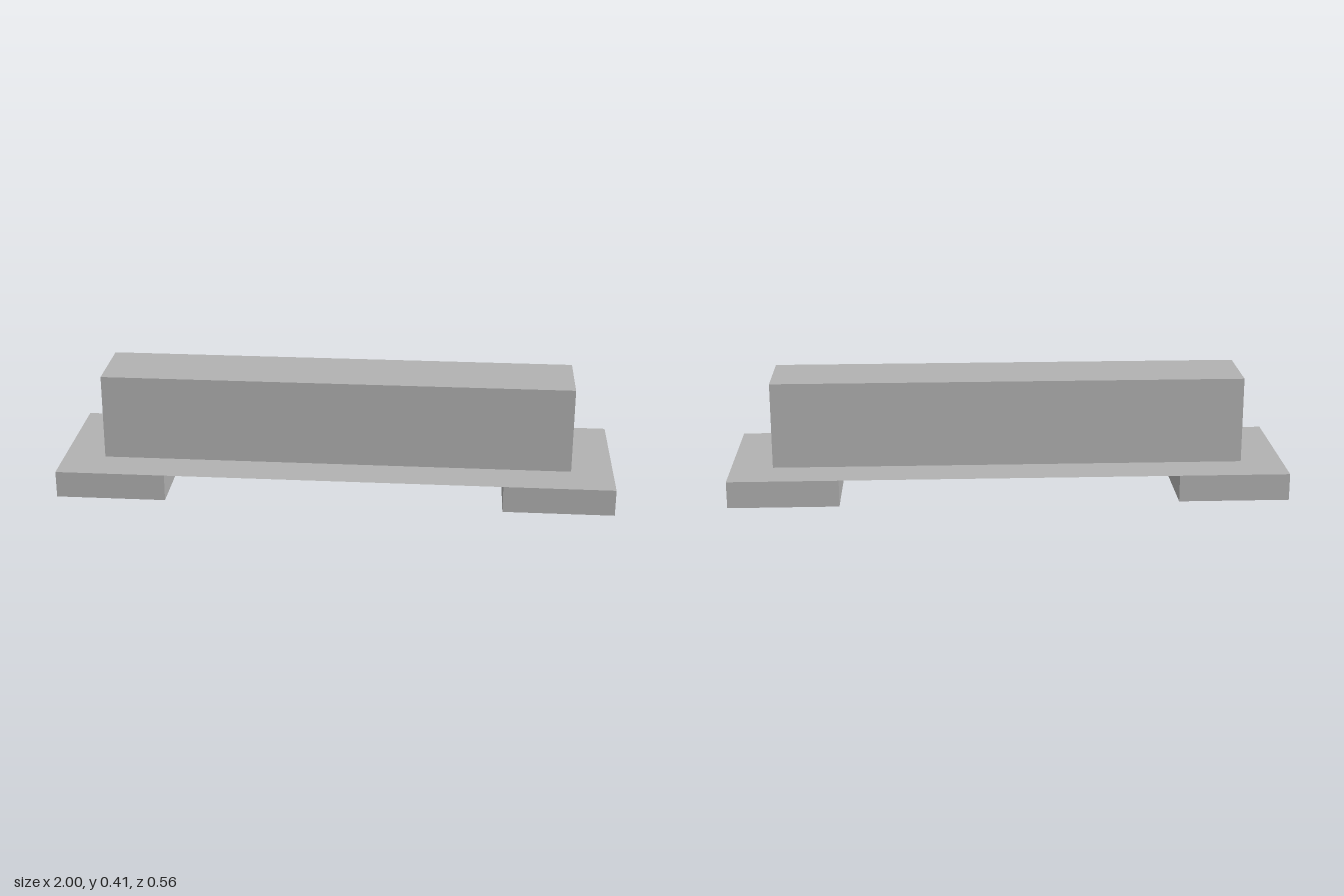
import * as THREE from 'three';

export function createModel() {
  const group = new THREE.Group();
  const grey = new THREE.MeshStandardMaterial({ color: 0xb2b2b2 });
  grey.name = 'grey';
  grey.side = THREE.DoubleSide; // the deck is a single thin sheet

  const baseTop = 0.097, depth = 0.56, footInner = 0.605;

  const add = (name, geometry, x, y) => {
    const mesh = new THREE.Mesh(geometry, grey);
    mesh.name = name;
    mesh.position.set(x, y, 0);
    group.add(mesh);
  };

  // Two flat feet, mirrored
  const footWidth = 1 - footInner;
  for (const [name, side] of [['leftFoot', 1], ['rightFoot', -1]]) {
    add(name, new THREE.BoxGeometry(footWidth, baseTop, depth), side * (1 + footInner) / 2, baseTop / 2);
  }

  // Thin deck bridging the feet
  add('deck', new THREE.PlaneGeometry(2 * footInner, depth).rotateX(-Math.PI / 2), 0, baseTop);

  // Long block standing on the deck
  const blockHeight = 0.41 - baseTop;
  add('upperBlock', new THREE.BoxGeometry(1.7, blockHeight, 0.26), 0, baseTop + blockHeight / 2);

  return group;
}
